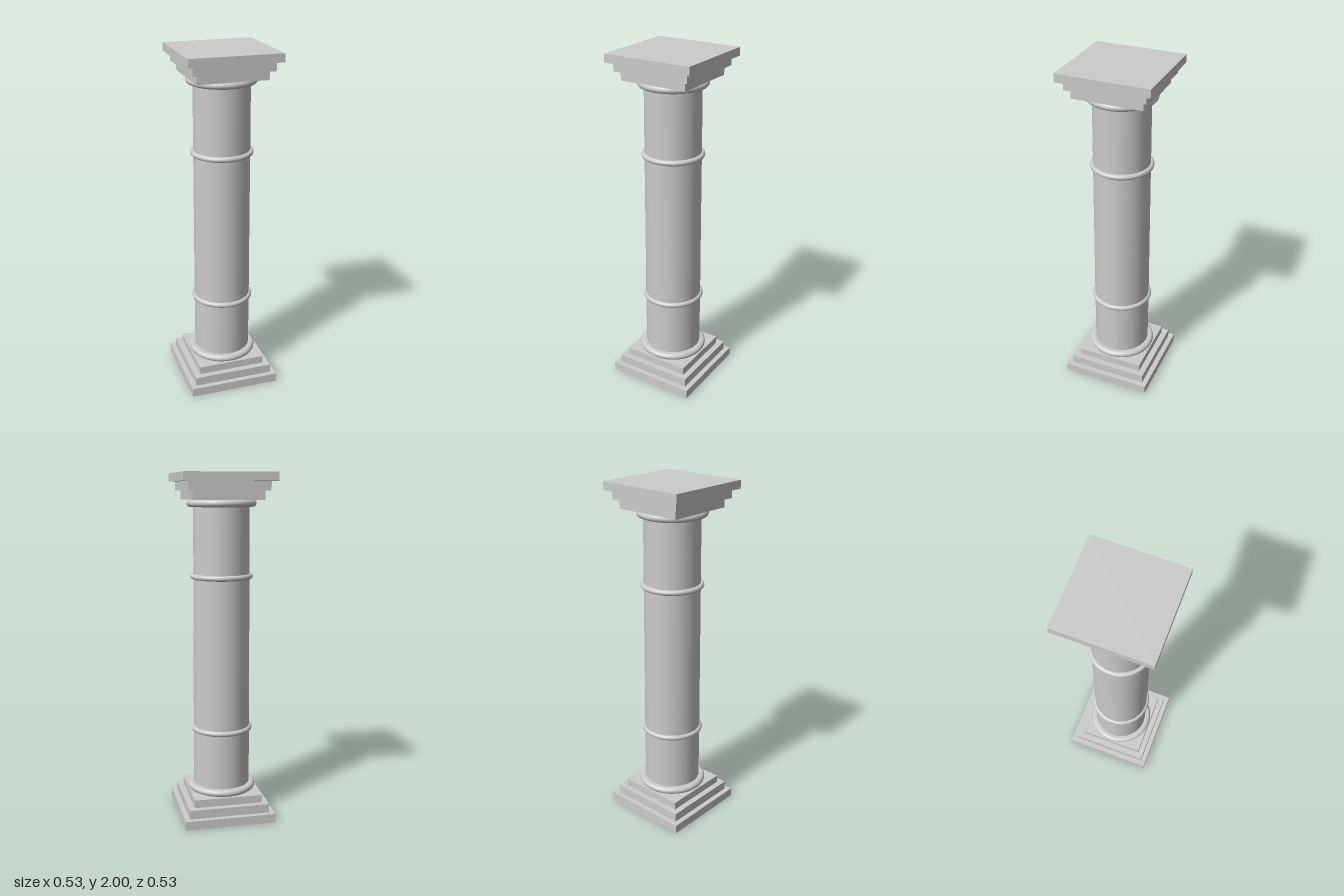
import * as THREE from 'three';

const material = new THREE.MeshStandardMaterial({ color: 0xcccccc });

function add(group, name, geometry, y) {
  const mesh = new THREE.Mesh(geometry, material);
  mesh.name = name;
  mesh.position.y = y;
  group.add(mesh);
}

// Square slab from its half width and bottom and top heights
function slab(group, name, half, bottom, top) {
  add(group, name, new THREE.BoxGeometry(half * 2, top - bottom, half * 2), (bottom + top) / 2);
}

// Solid round moulding with a half-round edge
function moulding(group, name, radius, bottom, top) {
  const r = (top - bottom) / 2;
  const points = [new THREE.Vector2(0, -r)];
  for (let i = 0; i <= 10; i++) {
    const a = -Math.PI / 2 + (Math.PI * i) / 10;
    points.push(new THREE.Vector2(radius - r + r * Math.cos(a), r * Math.sin(a)));
  }
  points.push(new THREE.Vector2(0, r));
  add(group, name, new THREE.LatheGeometry(points, 48), (bottom + top) / 2);
}

export function createModel() {
  const column = new THREE.Group();
  column.name = 'column';

  // Stepped base
  const base = new THREE.Group();
  base.name = 'base';
  slab(base, 'bottomPlinth', 0.265, 0, 0.052);
  slab(base, 'middlePlinth', 0.235, 0.052, 0.104);
  slab(base, 'upperPlinth', 0.2, 0.104, 0.15);
  moulding(base, 'baseMoulding', 0.2, 0.15, 0.19);
  column.add(base);

  // Slightly tapered shaft
  const profile = [[0.165, 0.17], [0.165, 0.5], [0.163, 0.9], [0.161, 1.4], [0.159, 1.83]];
  add(column, 'shaft', new THREE.LatheGeometry(profile.map(([x, y]) => new THREE.Vector2(x, y)), 32), 0);

  // Thin bands around the shaft
  moulding(column, 'lowerBand', 0.18, 0.511, 0.541);
  moulding(column, 'upperBand', 0.18, 1.409, 1.439);

  // Stepped capital
  const capital = new THREE.Group();
  capital.name = 'capital';
  moulding(capital, 'capitalMoulding', 0.198, 1.813, 1.853);
  slab(capital, 'lowerAbacus', 0.2, 1.853, 1.903);
  slab(capital, 'middleAbacus', 0.227, 1.903, 1.953);
  slab(capital, 'topAbacus', 0.26, 1.953, 2);
  column.add(capital);

  return column;
}
